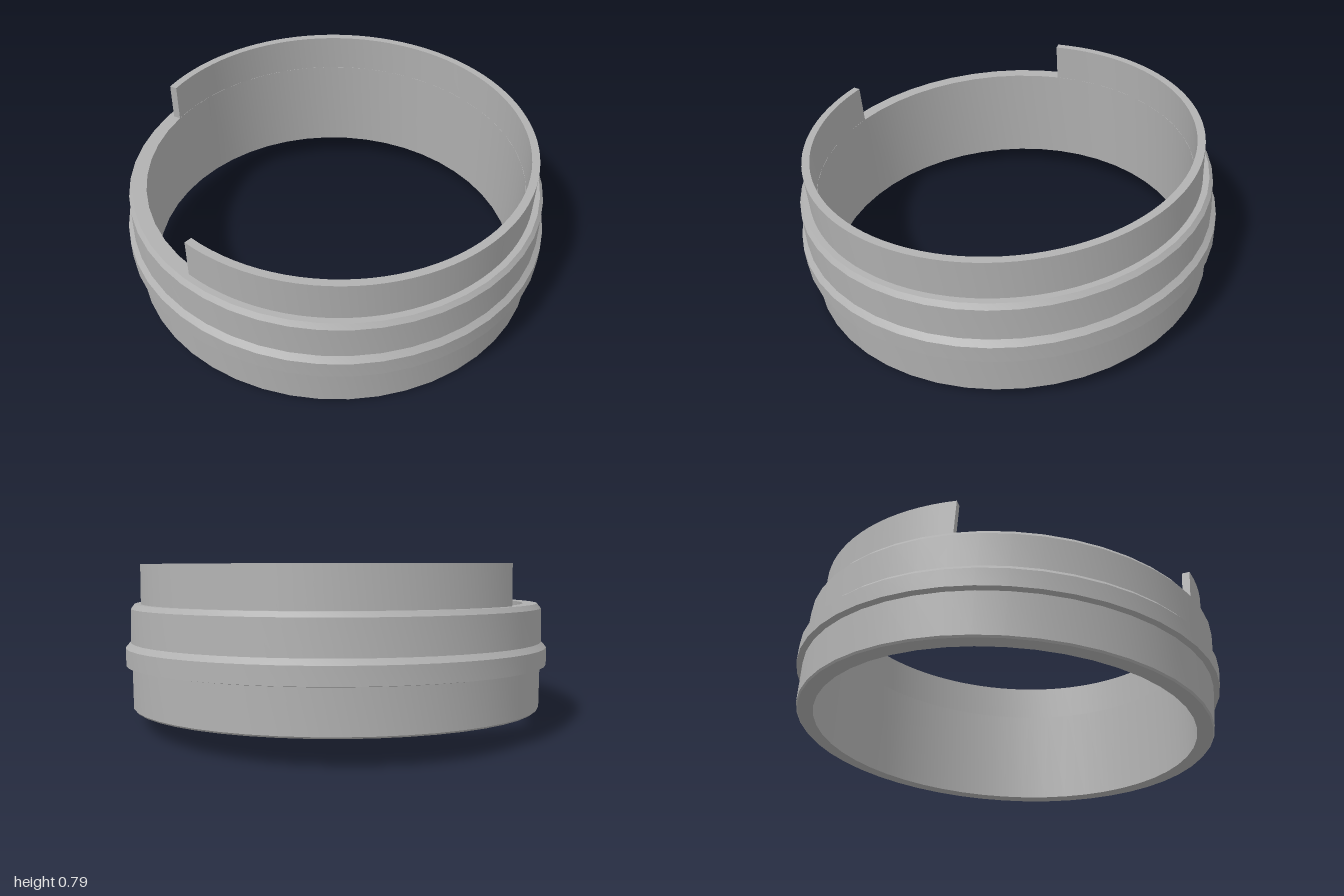
import * as THREE from 'three';
import { toCreasedNormals } from 'three/addons/utils/BufferGeometryUtils.js';

const INNER = 0.89, SHOULDER = 0.487, SEGMENTS = 48;

export function createModel() {
  const model = new THREE.Group();
  model.name = 'steppedRing';
  const grey = new THREE.MeshStandardMaterial({ color: 0xb0b0b0 });
  grey.name = 'grey';

  const addPart = (name, geometry) => {
    const mesh = new THREE.Mesh(toCreasedNormals(geometry, 0.4), grey);
    mesh.name = name;
    model.add(mesh);
  };

  // Full ring: lower wall, raised band with sloped top, upper wall, shoulder, bore
  const profile = [
    [INNER, 0], [0.96, 0], [0.967, 0.008], [0.97, 0.2], [0.998, 0.205],
    [0.998, 0.285], [0.975, 0.31], [0.972, 0.465], [0.955, SHOULDER],
    [INNER, SHOULDER], [INNER, 0],
  ].map(([r, y]) => new THREE.Vector2(r, y));
  addPart('bandedRing', new THREE.LatheGeometry(profile, SEGMENTS));

  // Thinner collar on the shoulder, open on the -x side
  const end = Math.PI - 0.655;
  const sector = new THREE.Shape();
  sector.absarc(0, 0, 0.926, -end, end, false);
  sector.absarc(0, 0, INNER, end, -end, true);
  const collar = new THREE.ExtrudeGeometry(sector, {
    depth: 0.67 - SHOULDER, bevelEnabled: false, curveSegments: 40,
  });
  collar.rotateX(-Math.PI / 2);
  collar.translate(0, SHOULDER, 0);
  addPart('splitCollar', collar);

  // The whole ring leans, with its back raised
  for (const part of model.children) {
    part.rotation.x = 0.067;
    part.position.set(0, 0.065, -0.015);
  }
  return model;
}
